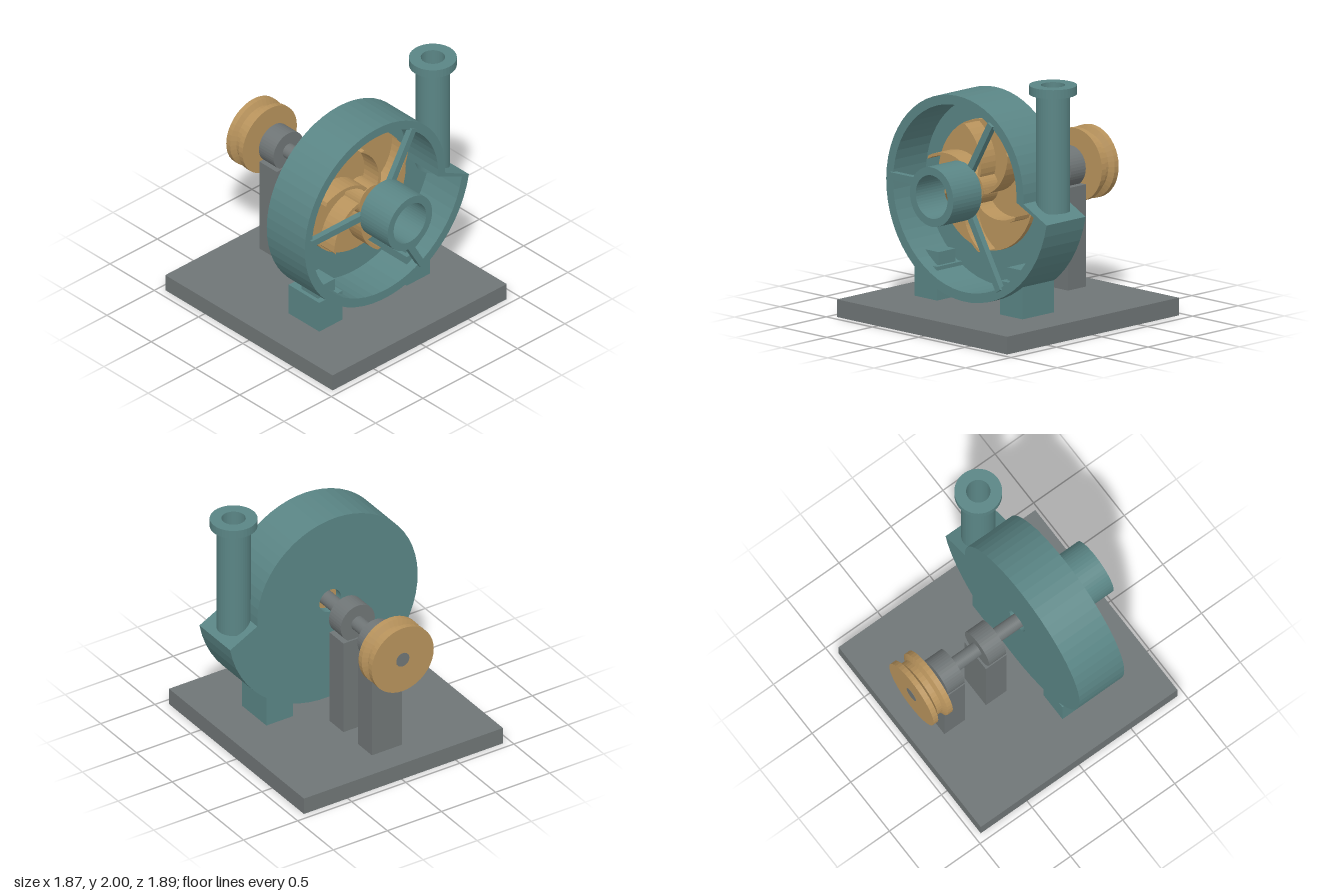
import * as THREE from 'three';

const AX = -0.018, AY = 1.08; // rotation axis of the blower

export function createModel() {
  const model = new THREE.Group();
  const mat = (name, color) => {
    const m = new THREE.MeshStandardMaterial({ color });
    m.name = name;
    return m;
  };
  const teal = mat('teal paint', 0x5a8585);
  const grey = mat('grey steel', 0x6f7576);
  const bronze = mat('bronze', 0xb8935c);

  const add = (name, geometry, material, parent = model) => {
    const mesh = new THREE.Mesh(geometry, material);
    mesh.name = name;
    parent.add(mesh);
    return mesh;
  };
  const faceted = (g) => {
    const f = g.toNonIndexed();
    f.computeVertexNormals();
    return f;
  };
  // Box given by its limits on each axis
  const box = (x0, x1, y0, y1, z0, z1) =>
    new THREE.BoxGeometry(x1 - x0, y1 - y0, z1 - z0)
      .translate((x0 + x1) / 2, (y0 + y1) / 2, (z0 + z1) / 2);
  // Cylinder along z
  const rod = (r, z0, z1) =>
    faceted(new THREE.CylinderGeometry(r, r, z1 - z0, 40).rotateX(Math.PI / 2).translate(0, 0, (z0 + z1) / 2));
  const lathe = (pts) =>
    faceted(new THREE.LatheGeometry(pts.map(([r, y]) => new THREE.Vector2(r, y)), 40));
  const slab = (shape, z0, z1) =>
    new THREE.ExtrudeGeometry(shape, { depth: z1 - z0, bevelEnabled: false, curveSegments: 24 }).translate(0, 0, z0);
  const circle = (r) => new THREE.Path().absarc(0, 0, r, 0, Math.PI * 2, true);

  // Base plate
  add('basePlate', box(-0.935, 0.905, 0, 0.14, -0.945, 0.945), grey);

  // Everything centred on the shaft
  const axis = new THREE.Group();
  axis.name = 'rotationAxis';
  axis.position.set(AX, AY, 0);
  model.add(axis);

  // Spiral casing, open at the front
  const END = 352;
  const spiralRadius = (deg) => 0.674 + 0.261 * deg / END;
  const spiral = (inset) => {
    const pts = [];
    for (let i = 0; i <= 56; i++) {
      const deg = END * i / 56, a = deg * Math.PI / 180, r = spiralRadius(deg) - inset;
      pts.push(new THREE.Vector2(r * Math.cos(a), r * Math.sin(a)));
    }
    return pts;
  };
  const wall = new THREE.Shape(spiral(0));
  wall.holes.push(new THREE.Path(spiral(0.075)));
  add('casingWall', slab(wall, 0.155, 0.515), teal, axis);
  const back = new THREE.Shape(spiral(0));
  back.holes.push(circle(0.1));
  add('casingBack', slab(back, 0.085, 0.155), teal, axis);

  // Inlet tube on three arms
  const ring = new THREE.Shape().absarc(0, 0, 0.235, 0, Math.PI * 2, false);
  ring.holes.push(circle(0.172));
  add('inletTube', slab(ring, 0.525, 0.838), teal, axis);
  for (const deg of [60, 180, 300]) {
    const arm = add('inletArm', box(0.2, spiralRadius(deg) - 0.055, -0.028, 0.028, 0.485, 0.535), teal, axis);
    arm.rotation.z = deg * Math.PI / 180;
  }

  // Impeller: disc, hub and six swept vanes
  add('impellerDisc', rod(0.516, 0.2, 0.24), bronze, axis);
  add('impellerHub', rod(0.135, 0.18, 0.41), bronze, axis);
  const edge = (side) => {
    const pts = [];
    for (let i = 0; i <= 10; i++) {
      const r = 0.12 + 0.38 * i / 10;
      const a = (55 + 125 * (r - 0.14)) * Math.PI / 180 + side * 0.016 / r;
      pts.push(new THREE.Vector2(r * Math.cos(a), r * Math.sin(a)));
    }
    return pts;
  };
  const vane = slab(new THREE.Shape([...edge(-1), ...edge(1).reverse()]), 0.235, 0.4);
  for (let i = 0; i < 6; i++) add('impellerVane', vane, bronze, axis).rotation.z = i * Math.PI / 3;

  // Shaft and grooved pulley
  add('shaft', rod(0.06, -0.932, 0.2), grey, axis);
  const pulley = lathe([
    [0, -0.93], [0.287, -0.93], [0.287, -0.885], [0.242, -0.862],
    [0.242, -0.813], [0.287, -0.79], [0.287, -0.745], [0, -0.745],
  ]);
  add('pulley', pulley.rotateX(Math.PI / 2), bronze, axis);

  // Bearings on pedestals
  for (const z of [-0.218, -0.617]) {
    add('bearing', rod(0.158, z - 0.082, z + 0.082), grey, axis);
    add('pedestal', box(-0.155, 0.125, 0.14, 0.95, z - 0.098, z + 0.098), grey);
  }

  // Casing feet with narrower webs
  for (const x of [-0.477, 0.447]) {
    add('foot', box(x - 0.122, x + 0.122, 0.14, 0.407, 0.09, 0.435), teal);
    add('footWeb', box(x - 0.09, x + 0.09, 0.4, 0.51, 0.2, 0.385), teal);
  }

  // Discharge pipe with flange
  const pipe = add('dischargePipe', lathe([
    [0.094, 1.005], [0.133, 1.005], [0.133, 1.93], [0.185, 1.93],
    [0.185, 2], [0.094, 2], [0.094, 1.005],
  ]), teal);
  pipe.position.set(0.747, 0, 0.28);

  return model;
}
